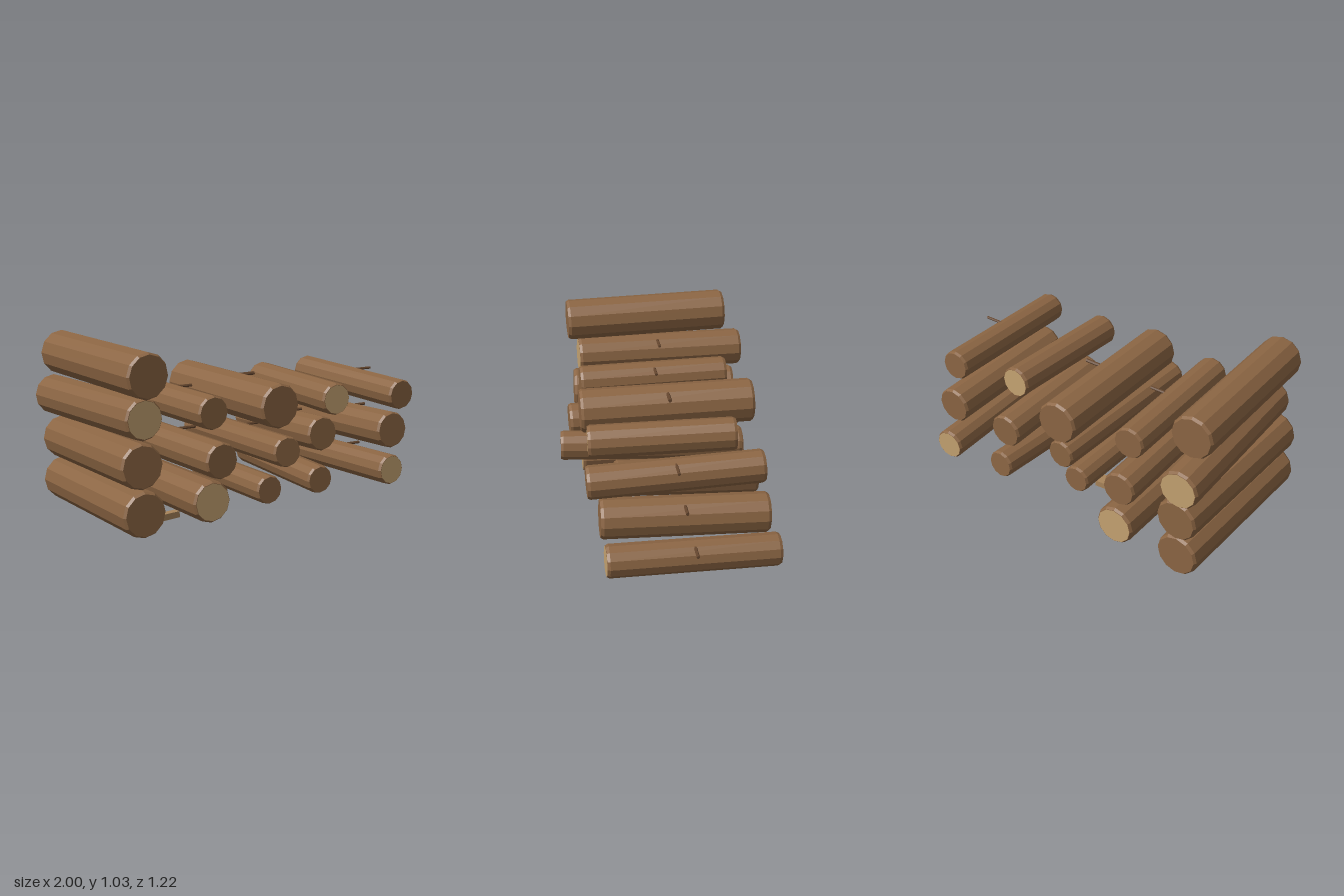
import * as THREE from 'three';

const material = (color) => new THREE.MeshStandardMaterial({ color, flatShading: true });
const bark = material(0x8b6543);
const paleWood = material(0xc4a271);
const twigWood = material(0x66472f);
const chipWood = material(0xa8845a);

// A log between two end centres, with chamfered rims; pale adds fresh-cut ends
function makeLog(name, front, back, r, pale) {
  const a = new THREE.Vector3(...back), b = new THREE.Vector3(...front);
  const axis = b.clone().sub(a), h = axis.length() / 2, bevel = 0.016;
  const profile = [
    [0, -h], [r * 0.92, -h], [r, -h + bevel],
    [r, h - bevel], [r * 0.92, h], [0, h],
  ].map(([x, y]) => new THREE.Vector2(x, y));
  const log = new THREE.Group();
  log.name = name;
  const body = new THREE.Mesh(new THREE.LatheGeometry(profile, 12), bark);
  body.name = 'bark';
  log.add(body);
  if (pale) {
    for (const s of [-1, 1]) {
      const cut = new THREE.Mesh(new THREE.CircleGeometry(r * 0.9, 12), paleWood);
      cut.name = 'cutEnd';
      cut.rotation.x = -s * Math.PI / 2;
      cut.position.y = s * (h + 0.001);
      log.add(cut);
    }
  }
  log.position.copy(a).add(b).multiplyScalar(0.5);
  log.quaternion.setFromUnitVectors(new THREE.Vector3(0, 1, 0), axis.normalize());
  return log;
}

export function createModel() {
  const model = new THREE.Group();
  model.name = 'logPile';

  // Stacks from right to left, each from the bottom up: front centre, back centre, radius, pale ends
  const stacks = [
    [
      [[-0.857, 0.155, 0.49], [-0.848, 0.147, -0.55], 0.127, 0],
      [[-0.863, 0.413, 0.475], [-0.843, 0.392, -0.56], 0.125, 0],
      [[-0.828, 0.655, 0.44], [-0.88, 0.643, -0.605], 0.115, 1],
      [[-0.837, 0.895, 0.505], [-0.875, 0.907, -0.49], 0.126, 0],
    ],
    [
      [[-0.425, 0.155, 0.46], [-0.435, 0.153, -0.555], 0.118, 1],
      [[-0.408, 0.398, 0.535], [-0.452, 0.405, -0.54], 0.102, 0],
      [[-0.415, 0.65, 0.46], [-0.445, 0.655, -0.44], 0.095, 0],
    ],
    [
      [[-0.005, 0.15, 0.40], [-0.005, 0.15, -0.35], 0.084, 0],
      [[-0.03, 0.415, 0.607], [0.018, 0.388, -0.46], 0.087, 0],
      [[0.003, 0.648, 0.49], [-0.012, 0.655, -0.525], 0.128, 0],
    ],
    [
      [[0.4, 0.14, 0.335], [0.437, 0.162, -0.515], 0.085, 0],
      [[0.418, 0.415, 0.33], [0.42, 0.387, -0.475], 0.103, 0],
      [[0.404, 0.645, 0.475], [0.433, 0.66, -0.35], 0.094, 1],
    ],
    [
      [[0.868, 0.157, 0.425], [0.837, 0.143, -0.53], 0.093, 1],
      [[0.846, 0.41, 0.45], [0.846, 0.387, -0.455], 0.11, 0],
      [[0.855, 0.634, 0.515], [0.835, 0.662, -0.425], 0.09, 0],
    ],
  ];
  stacks.forEach((rows, s) => {
    const stack = new THREE.Group();
    stack.name = `stack${s + 1}`;
    rows.forEach((row, i) => stack.add(makeLog(`log${i + 1}`, ...row)));
    model.add(stack);
  });

  // Twig stubs pointing sideways: outer end x, y, z, radius
  const twigs = [
    [-0.68, 0.745, -0.065, 0.009], [-0.695, 0.505, -0.06, 0.009],
    [-0.285, 0.725, 0.005, 0.009], [-0.26, 0.48, 0.003, 0.009],
    [0.16, 0.752, -0.018, 0.011], [0.165, 0.47, 0.07, 0.008],
    [0.55, 0.485, -0.07, 0.009],
    [0.99, 0.721, 0.048, 0.008], [0.99, 0.484, 0.003, 0.009], [0.997, 0.222, -0.055, 0.009],
  ];
  for (const [x, y, z, r] of twigs) {
    const twig = new THREE.Mesh(new THREE.CylinderGeometry(r, r, 0.11, 6), twigWood);
    twig.name = 'twig';
    twig.rotation.z = -Math.PI / 2;
    twig.position.set(x - 0.055, y, z);
    model.add(twig);
  }

  // Wood chips on the ground: x, z, width, depth, turn
  for (const [x, z, w, d, turn] of [[-0.54, 0.153, 0.15, 0.045, 0.17], [-0.058, -0.133, 0.088, 0.078, 0.08]]) {
    const chip = new THREE.Mesh(new THREE.BoxGeometry(w, 0.036, d), chipWood);
    chip.name = 'woodChip';
    chip.position.set(x, 0.022, z);
    chip.rotation.y = turn;
    model.add(chip);
  }
  return model;
}
